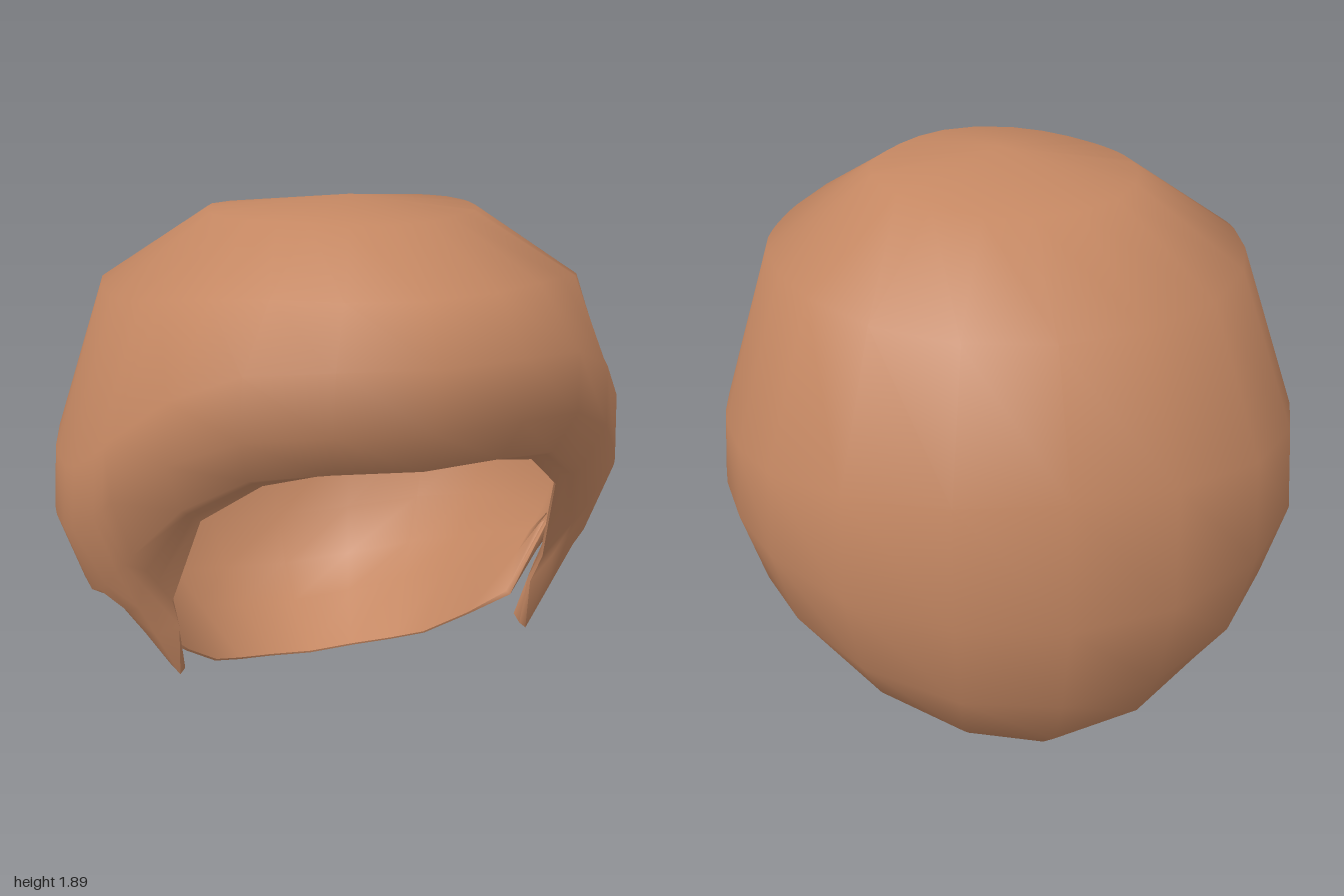
import * as THREE from 'three';

// Shell rings from crown to brow: half width, front z, back z, then y at front, side, back,
// and how much the front corners are flattened
const RINGS = [
  [0.44, 0.59, -0.43, 1.86, 1.84, 1.80, 0.08],
  [0.79, 0.90, -0.79, 1.70, 1.61, 1.53, 0.06],
  [0.965, 1.00, -0.98, 1.53, 1.06, 1.12, 0.035],
  [0.98, 0.99, -1.00, 1.34, 0.84, 0.70, 0.03],
  [0.90, 0.89, -0.92, 1.20, 0.60, 0.38, 0.02],
];
// Hem of the left half, front to back: angle in degrees, then x, y, z and edge thickness
const HEM = [
  [0, 0, 1.18, 0.76, 0.008], [17, 0.22, 1.17, 0.75, 0.008],
  [33, 0.43, 1.13, 0.69, 0.008], [48, 0.59, 0.98, 0.54, 0.008],
  [62, 0.655, 0.63, 0.337, 0.015], [65, 0.63, 0.52, 0.30, 0.025], // sideburn
  [68, 0.63, 0.33, 0.28, 0.03], [73, 0.65, 0.33, 0.19, 0.03], [77, 0.73, 0.52, 0.15, 0.03],
  [82, 0.83, 0.636, 0.096, 0.04], [90, 0.85, 0.61, -0.03, 0.05], // ear notch
  [95, 0.655, 0.37, 0.08, 0.02], [108, 0.55, 0.24, -0.06, 0.008],
  [122, 0.42, 0.11, -0.20, 0.008], [140, 0.31, 0.06, -0.28, 0.008],
  [160, 0.17, 0.025, -0.34, 0.008], [180, 0, 0, -0.37, 0.008], // nape
];
const THICKNESS = 0.06;

// One meridian of the shell, below the crown point
function meridian([deg, hx, hy, hz]) {
  const a = THREE.MathUtils.degToRad(deg);
  const s = Math.sin(a), c = Math.cos(a);
  const corner = Math.sin(2 * a) ** 2;
  const lift = THREE.MathUtils.smoothstep(c, 0.1, 0.97);
  const points = RINGS.map(([w, zf, zb, yf, ys, yb, flat]) => {
    // Flattened front corners, fuller back corners
    const k = 1 + corner * (c > 0 ? -flat : 0.03);
    return new THREE.Vector3(
      w * s * k,
      ys + (c > 0 ? (yf - ys) * lift : (yb - ys) * c * c),
      (zf + zb) / 2 + c * k * (zf - zb) / 2);
  });
  // Tuck under to the hem, rounded towards the nape
  const brow = points[points.length - 1], hem = new THREE.Vector3(hx, hy, hz);
  const bulge = c < 0 ? c * c : 0;
  for (const [t, out, down] of [[0.33, 0.08, 0.07], [0.6, 0.07, 0.1]]) {
    const p = brow.clone().lerp(hem, t);
    p.add(new THREE.Vector3(s * out, -down, c * out).multiplyScalar(bulge));
    points.push(p);
  }
  points.push(hem);
  return points;
}

function makeGeometry(positions, index) {
  const g = new THREE.BufferGeometry();
  g.setAttribute('position', new THREE.Float32BufferAttribute(positions, 3));
  g.setIndex(index);
  g.computeVertexNormals();
  return g;
}

// Left half followed by its mirrored right half
const mirrored = (list, flip) => [...list, ...list.slice(1, -1).reverse().map(flip)];

export function createModel() {
  const group = new THREE.Group();
  group.name = 'hair';
  const hairBrown = new THREE.MeshStandardMaterial({ color: 0xc48762 });
  hairBrown.name = 'hairBrown';

  const columns = mirrored(HEM.map(meridian),
    m => m.map(p => new THREE.Vector3(-p.x, p.y, p.z)));
  const edges = mirrored(HEM.map(h => h[4]), t => t);
  const n = columns.length, rows = columns[0].length;
  const id = (r, c) => (r === 0 ? 0 : 1 + (r - 1) * n + (c % n));

  // Outer surface
  const outer = [0, 1.89, 0.13];
  for (let r = 0; r < rows; r++) columns.forEach(m => outer.push(m[r].x, m[r].y, m[r].z));
  const index = [];
  for (let r = 0; r < rows; r++) {
    for (let c = 0; c < n; c++) {
      const a = id(r, c), b = id(r + 1, c), e = id(r + 1, c + 1), d = id(r, c + 1);
      index.push(a, b, e);
      if (r > 0) index.push(a, e, d);
    }
  }
  const outerGeometry = makeGeometry(outer, index);

  // Inner surface, set in along the normals, thinning out at the hem
  const normals = outerGeometry.attributes.normal.array;
  const hemStart = id(rows, 0);
  const inner = outer.map((v, i) => {
    const k = Math.floor(i / 3) - hemStart;
    return v - normals[i] * (k < 0 ? THICKNESS : edges[k]);
  });
  const innerIndex = [];
  for (let i = 0; i < index.length; i += 3) innerIndex.push(index[i], index[i + 2], index[i + 1]);

  // Hem strip joining both surfaces
  const rim = [], rimIndex = [];
  for (let c = 0; c < n; c++) {
    const k = id(rows, c) * 3;
    rim.push(...outer.slice(k, k + 3), ...inner.slice(k, k + 3));
    const o = 2 * c, p = 2 * ((c + 1) % n);
    rimIndex.push(o, o + 1, p + 1, o, p + 1, p);
  }

  const parts = {
    outerHair: outerGeometry,
    innerHair: makeGeometry(inner, innerIndex),
    hairHem: makeGeometry(rim, rimIndex),
  };
  for (const [name, geometry] of Object.entries(parts)) {
    const mesh = new THREE.Mesh(geometry, hairBrown);
    mesh.name = name;
    group.add(mesh);
  }
  return group;
}
